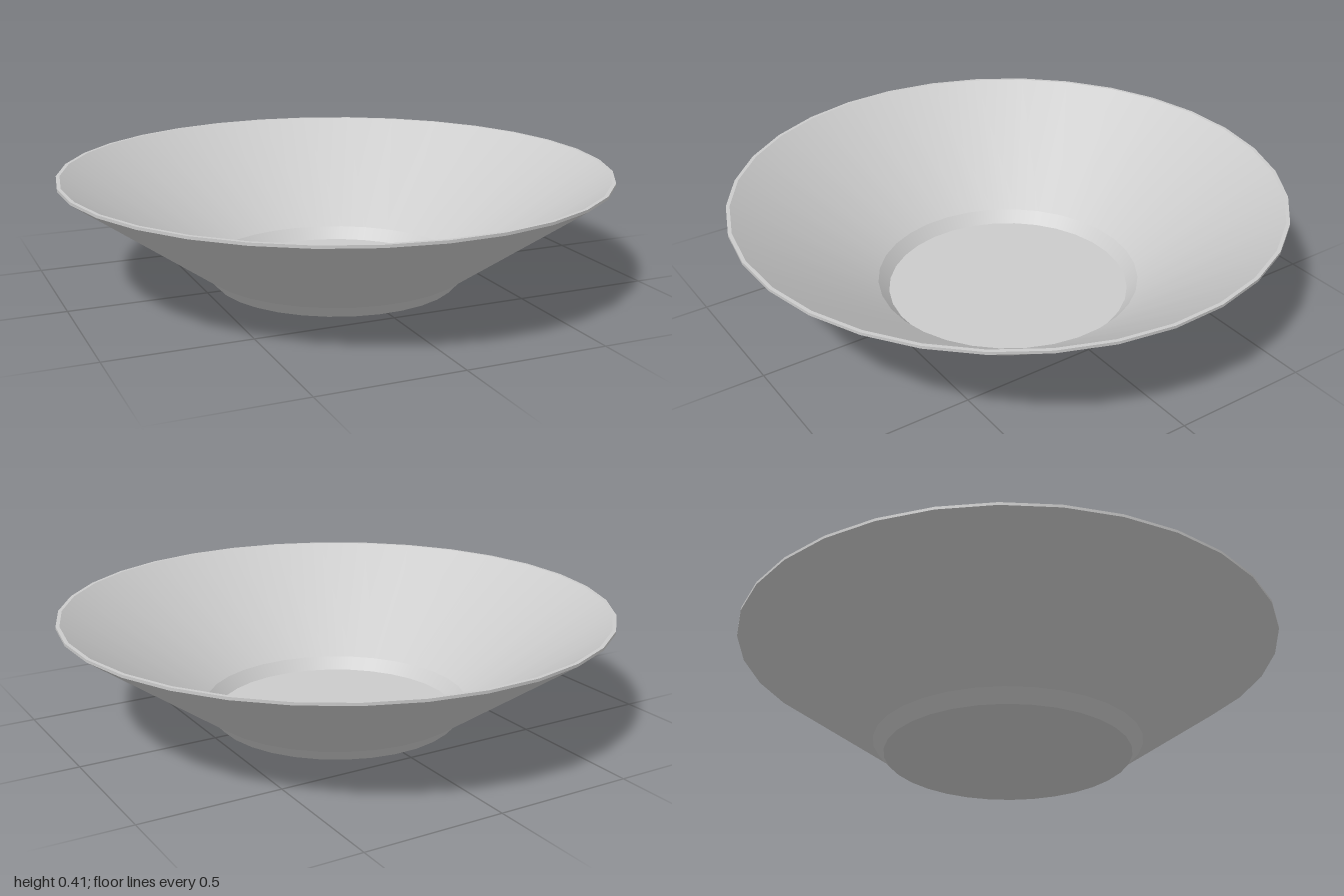
import * as THREE from 'three';

const SIDES = 32;
const START = THREE.MathUtils.degToRad(7.2);

export function createModel() {
  const group = new THREE.Group();
  group.name = 'bowl';
  const material = new THREE.MeshStandardMaterial({ color: 0xcccccc });

  // Each band is smooth around the bowl, with a crisp edge to its neighbours
  const addBand = (name, ...profile) => {
    const points = profile.map(([r, y]) => new THREE.Vector2(r, y));
    const mesh = new THREE.Mesh(new THREE.LatheGeometry(points, SIDES, START), material);
    mesh.name = name;
    group.add(mesh);
  };

  // Outside, from the base up
  addBand('base', [0, 0], [0.45, 0]);
  addBand('outerFoot', [0.45, 0], [0.49, 0.045]);
  addBand('outerWall', [0.49, 0.045], [1, 0.405]);

  // Thin lip
  addBand('rimEdge', [1, 0.405], [1, 0.415]);
  addBand('rimTop', [1, 0.415], [0.987, 0.415]);

  // Inside, from the lip down
  addBand('innerWall', [0.987, 0.415], [0.485, 0.056]);
  addBand('innerFoot', [0.485, 0.056], [0.447, 0.012]);
  addBand('floor', [0.447, 0.012], [0, 0.012]);

  return group;
}
